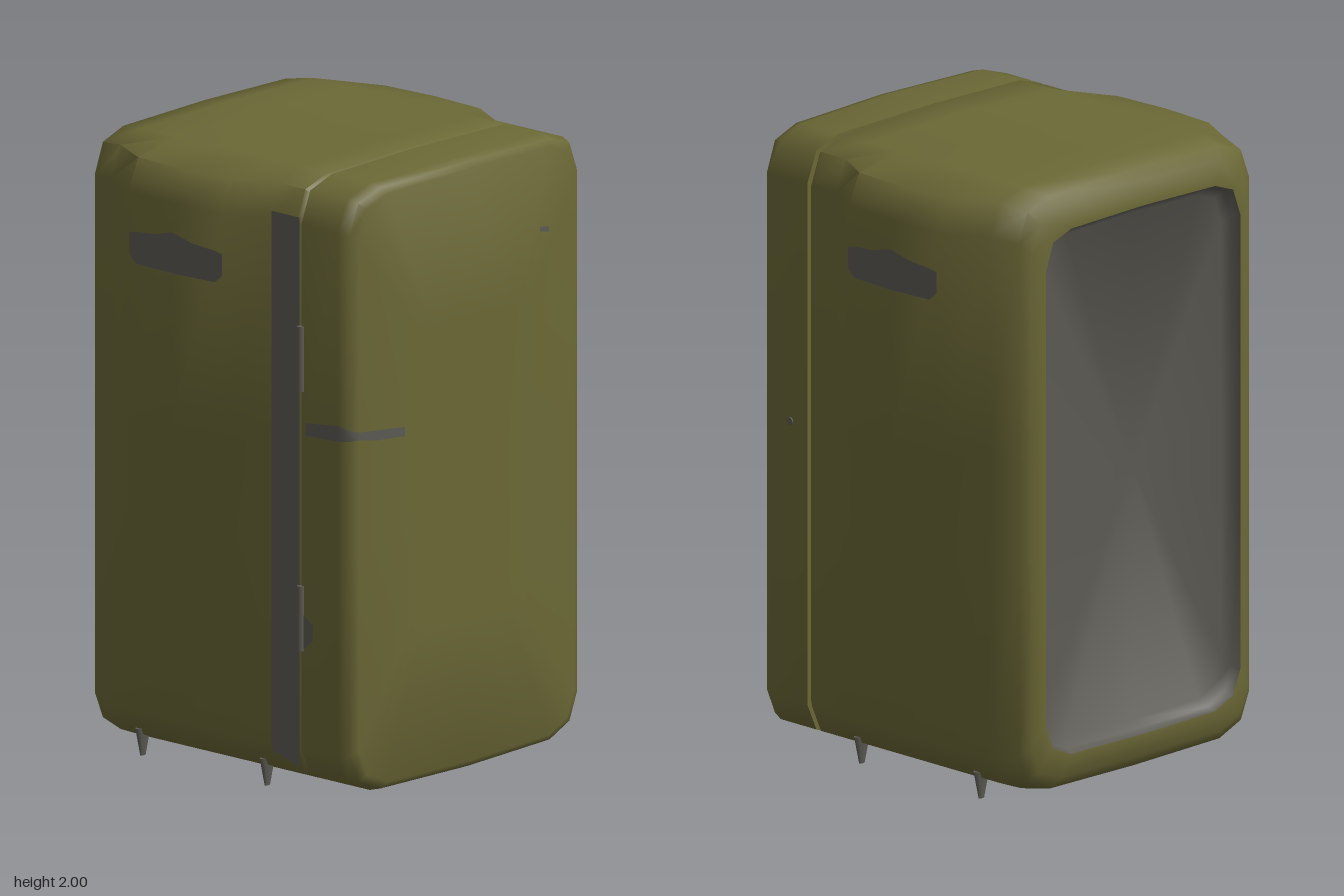
import * as THREE from 'three';
import { toCreasedNormals } from 'three/addons/utils/BufferGeometryUtils.js';

// Right half of the cabinet outline, top to bottom: x, y, share of the shoulder bulge
const HALF = [
  [0, 2, 0], [0.4, 1.993, 0.05], [0.5, 1.96, 0.9], [0.54, 1.86, 1], [0.54, 1.13, 1],
  [0.54, 0.8, 0], [0.54, 0.16, 0], [0.5, 0.07, 0], [0.4, 0.03, 0], [0, 0.025, 0],
];
const OUTLINE = [...HALF, ...HALF.slice(1, -1).reverse().map(([x, y, b]) => [-x, y, b])];
const HALF_W = 0.54, MID_Y = 1.0125, HALF_H = 0.9875;

// Rings run front to back: z, inset in x, inset in y, bulge, bow of the front face
function loft(rings) {
  const pos = [], index = [], n = OUTLINE.length;
  for (const [z, dx, dy, bulge = 0, bow = 0] of rings) {
    for (const [px, py, b] of OUTLINE) {
      const x = px * (1 - dx / HALF_W) + Math.sign(px) * b * bulge;
      const y = MID_Y + (py - MID_Y) * (1 - dy / HALF_H);
      pos.push(x, y, z - bow * x * x);
    }
  }
  for (let i = 0; i < rings.length - 1; i++) {
    for (let j = 0; j < n; j++) {
      const a = i * n + j, b = i * n + (j + 1) % n;
      index.push(a, b, a + n, b, b + n, a + n);
    }
  }
  const geo = new THREE.BufferGeometry();
  geo.setAttribute('position', new THREE.Float32BufferAttribute(pos, 3));
  geo.setIndex(index);
  return toCreasedNormals(geo, 1.0);
}

// Thin upright ribbon; each point is x, z, top y, bottom y
function ribbon(path) {
  const pos = [], index = [];
  path.forEach(([x, z, top, bottom], i) => {
    pos.push(x, top, z, x, bottom, z);
    if (i) {
      const k = 2 * i - 2;
      index.push(k, k + 1, k + 2, k + 1, k + 3, k + 2);
    }
  });
  const geo = new THREE.BufferGeometry();
  geo.setAttribute('position', new THREE.Float32BufferAttribute(pos, 3));
  geo.setIndex(index);
  geo.computeVertexNormals();
  return geo;
}

export function createModel() {
  const group = new THREE.Group();
  const olive = new THREE.MeshStandardMaterial({ color: 0x6b6836 });
  olive.name = 'olive enamel';
  const grey = new THREE.MeshStandardMaterial({ color: 0x5c5a53, side: THREE.DoubleSide });
  grey.name = 'grey metal';

  function add(name, geo, mat, x = 0, y = 0, z = 0) {
    const mesh = new THREE.Mesh(geo, mat);
    mesh.name = name;
    mesh.position.set(x, y, z);
    group.add(mesh);
    return mesh;
  }

  // Cabinet with bulging shoulders and a rounded back rim
  add('cabinet', loft([
    [0.38, 0.03, 0.03], [0.355, 0.012, 0.012], [0.34, 0, 0], [0.23, 0, 0],
    [0.1, 0, 0, 0.08], [-0.1, 0, 0, 0.093], [-0.3, 0, 0, 0.08], [-0.44, 0, 0],
    [-0.54, 0.03, 0.015], [-0.565, 0.06, 0.05], [-0.58, 0.09, 0.11], [-0.58, 0.11, 0.125],
  ]), olive);

  // Recessed panel in the back
  add('backPanel', loft([
    [-0.58, 0.11, 0.125], [-0.55, 0.12, 0.135], [-0.53, 0.145, 0.16], [-0.53, HALF_W, HALF_H],
  ]), grey);

  // Door, slightly bowed across its width
  add('door', loft([
    [0.58, HALF_W, HALF_H, 0, 0.06], [0.58, 0.3, 0.5, 0, 0.06], [0.58, 0.04, 0.03, 0, 0.06],
    [0.567, 0.012, 0.01, 0, 0.06], [0.53, 0, 0, 0, 0.06], [0.36, 0, 0], [0.36, 0.06, 0.06],
  ]), olive);

  // Handle band wrapping round the door edge
  add('handleBand', ribbon([
    [-0.3, 0.578, 1.195, 1.165], [-0.42, 0.573, 1.207, 1.175], [-0.5, 0.568, 1.215, 1.19],
    [-0.532, 0.553, 1.225, 1.188], [-0.544, 0.515, 1.235, 1.185], [-0.544, 0.38, 1.22, 1.18],
  ]), grey);
  add('doorMark', ribbon([[0.325, 0.578, 1.715, 1.7], [0.37, 0.576, 1.708, 1.69]]), grey);

  // Seam strip, hinges and hinge leaf on the right flank
  add('seamStrip', ribbon([[-0.543, 0.235, 1.88, 0.14], [-0.543, 0.355, 1.88, 0.1]]), grey);
  for (const y of [1.425, 0.585]) {
    add('hinge', new THREE.CylinderGeometry(0.012, 0.012, 0.21, 8), grey, -0.545, y, 0.36);
  }
  add('hingeLeaf', ribbon([[-0.543, 0.365, 0.6, 0.48], [-0.543, 0.41, 0.57, 0.52]]), grey);

  // Lock stud on the left flank of the door
  add('lockStud', new THREE.CylinderGeometry(0.013, 0.013, 0.008, 8), grey, 0.54, 1.07, 0.435)
    .rotation.z = Math.PI / 2;

  // Side plates and tapered feet, mirrored
  const plate = [
    [0.1, 1.73, 1.66], [0.07, 1.737, 1.635], [-0.02, 1.745, 1.635], [-0.1, 1.767, 1.635],
    [-0.18, 1.745, 1.635], [-0.26, 1.737, 1.635], [-0.29, 1.73, 1.66],
  ];
  for (const s of [1, -1]) {
    add('sidePlate', ribbon(plate.map(([z, top, bottom]) =>
      [s * (0.636 - Math.abs(z + 0.1) * 0.065), z, top, bottom])), grey);
    for (const z of [0.17, -0.355]) {
      add('foot', new THREE.CylinderGeometry(0.034, 0.012, 0.09, 8), grey, s * 0.49, 0.045, z)
        .scale.z = 0.45;
    }
  }
  return group;
}
